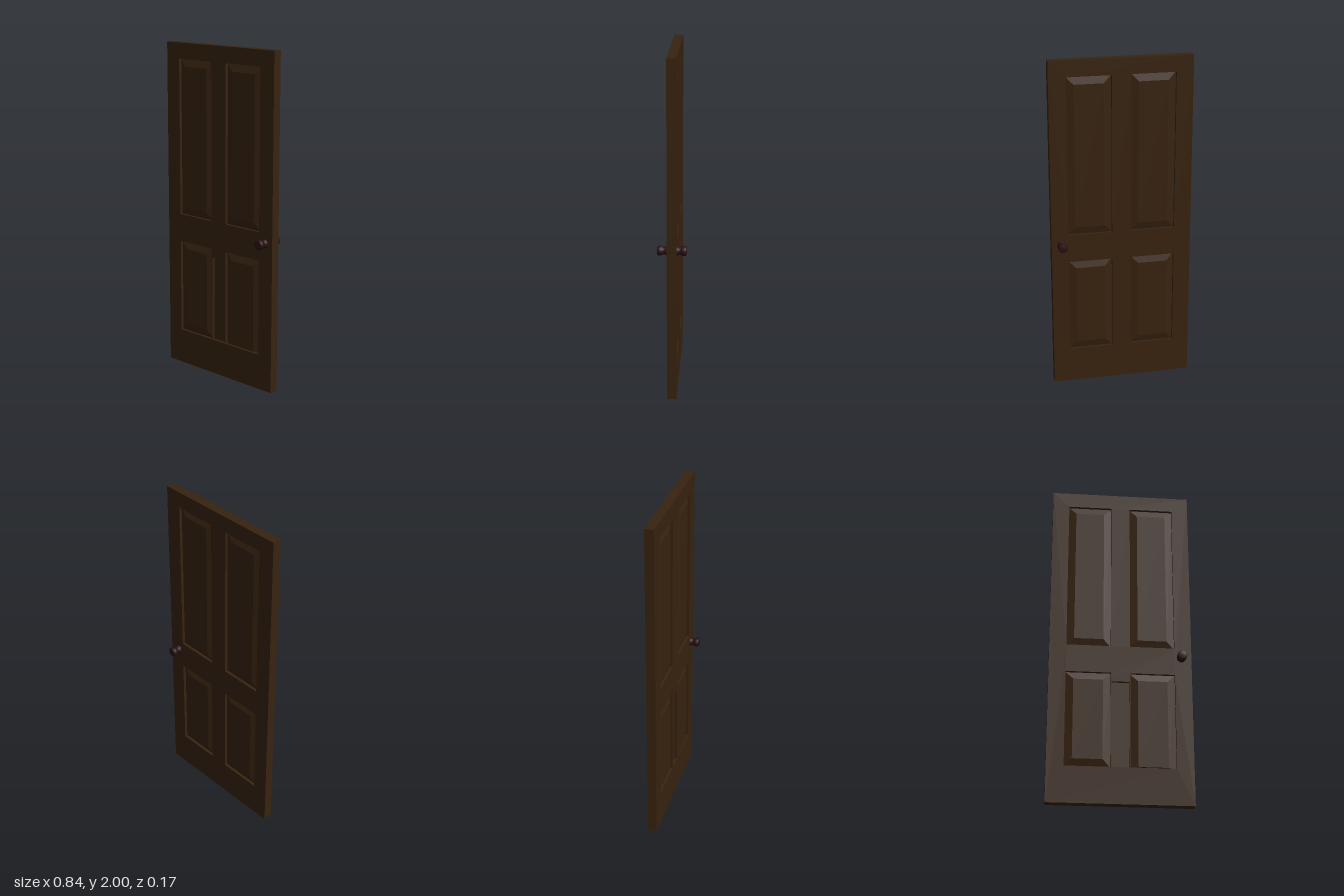
import * as THREE from 'three';

const W = 0.84, H = 2, HALF = 0.027, DEPTH = 0.018;
const CORE = HALF - DEPTH;

// Rectangular outline, used for the frame and its openings
function rect(Type, x0, x1, y0, y1) {
  return new Type([[x0, y0], [x1, y0], [x1, y1], [x0, y1]].map(([x, y]) => new THREE.Vector2(x, y)));
}

// Raised panel: a box whose front corners are drawn inward to form bevels
function panelGeometry([x0, x1, y0, y1], inset, bottomInset = inset) {
  const w = x1 - x0, h = y1 - y0, d = DEPTH - 0.004;
  const g = new THREE.BoxGeometry(w, h, d);
  const p = g.attributes.position;
  for (let i = 0; i < p.count; i++) {
    if (p.getZ(i) < 0) continue;
    p.setX(i, p.getX(i) - Math.sign(p.getX(i)) * inset);
    p.setY(i, p.getY(i) + (p.getY(i) > 0 ? -inset : bottomInset));
  }
  g.translate((x0 + x1) / 2, (y0 + y1) / 2, CORE + d / 2);
  const flat = g.toNonIndexed();
  flat.computeVertexNormals();
  return flat;
}

export function createModel() {
  const door = new THREE.Group();
  door.name = 'door';
  const wood = new THREE.MeshStandardMaterial({ color: 0x38230f });
  wood.name = 'dark wood';
  const metal = new THREE.MeshStandardMaterial({ color: 0x2a1012 });
  metal.name = 'dark bronze';

  const add = (parent, name, geometry, material) => {
    const mesh = new THREE.Mesh(geometry, material);
    mesh.name = name;
    parent.add(mesh);
    return mesh;
  };

  // Central slab behind the panels
  const slab = add(door, 'slab', new THREE.BoxGeometry(W, H, CORE * 2), wood);
  slab.position.y = H / 2;

  const openings = [];
  for (const [x0, x1] of [[-0.32, -0.057], [0.057, 0.32]]) {
    openings.push([x0, x1, 0.96, 1.905], [x0, x1, 0.215, 0.79]);
  }

  // Knob profile, from the rose on the door to the rounded end
  const profile = [
    [0.027, 0.02], [0.028, 0.032], [0.023, 0.038], [0.021, 0.045], [0.023, 0.052],
    [0.028, 0.06], [0.029, 0.068], [0.028, 0.079], [0.023, 0.083], [0, 0.085],
  ].map(([r, y]) => new THREE.Vector2(r, y));
  const knobGeometry = new THREE.LatheGeometry(profile, 20).rotateX(Math.PI / 2);

  for (const side of ['front', 'back']) {
    const isFront = side === 'front';
    const face = new THREE.Group();
    face.name = side + 'Face';
    if (!isFront) face.rotation.y = Math.PI;
    door.add(face);

    // Stiles and rails
    const outline = rect(THREE.Shape, -W / 2, W / 2, 0, H);
    for (const o of openings) outline.holes.push(rect(THREE.Path, ...o));
    // Sunken strip in the lower middle stile of the front
    if (isFront) outline.holes.push(rect(THREE.Path, -0.052, 0.052, 0.215, 0.735));
    const frame = new THREE.ExtrudeGeometry(outline, { depth: DEPTH, bevelEnabled: false });
    frame.translate(0, 0, CORE);
    add(face, side + 'Frame', frame, wood);

    // Bevelled panels
    openings.forEach((o, i) => {
      const plainFoot = isFront && i === 3;
      add(face, side + 'Panel' + (i + 1), panelGeometry(o, 0.045, plainFoot ? 0.005 : 0.045), wood);
    });

    // Knob
    const knob = add(face, side + 'Knob', knobGeometry, metal);
    knob.position.set(isFront ? 0.36 : -0.36, 0.9, 0);
  }
  return door;
}
